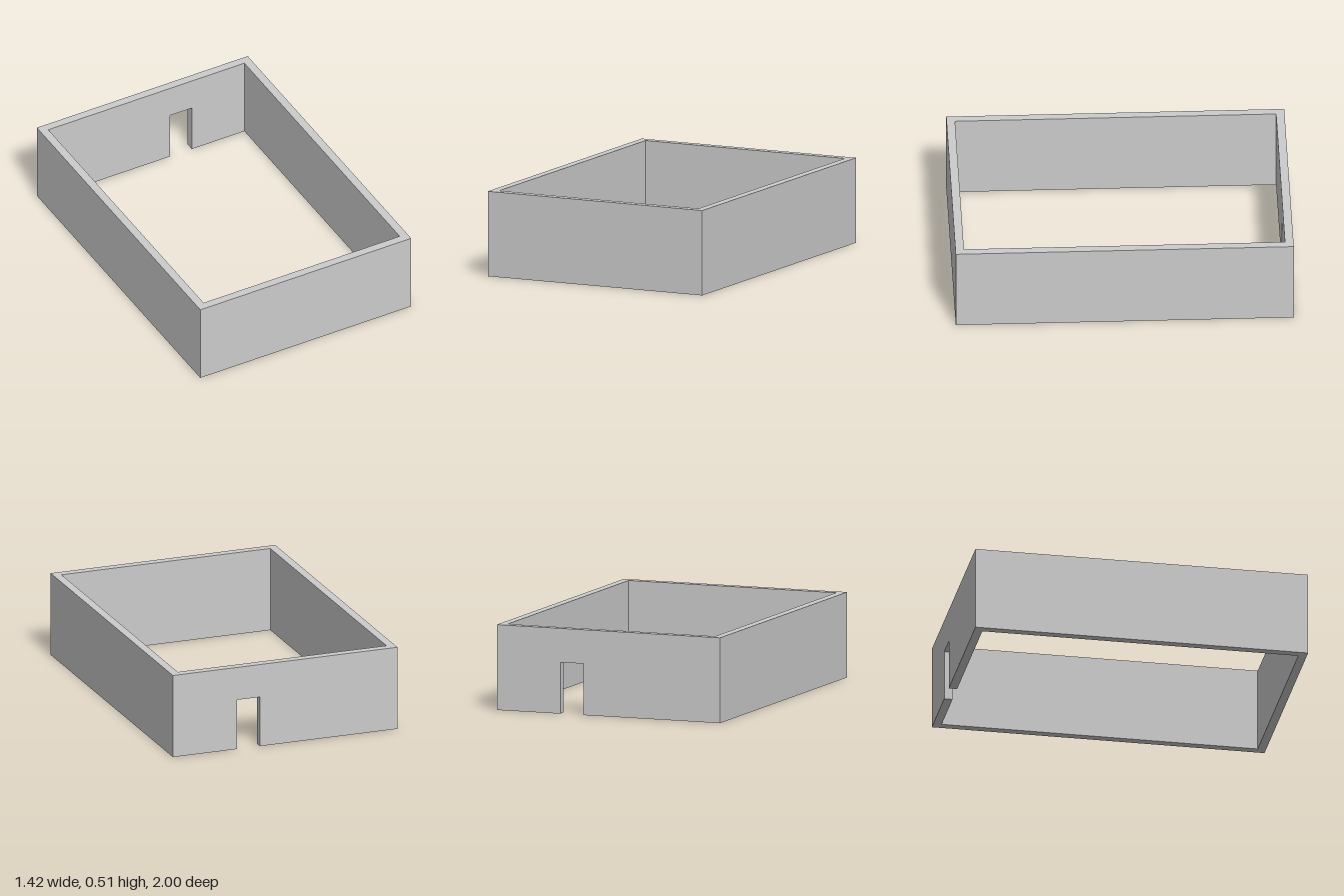
import * as THREE from 'three';

const WIDTH = 1.424, DEPTH = 2, HEIGHT = 0.51, THICK = 0.05;
const material = new THREE.MeshStandardMaterial({ color: 0xcccccc, flatShading: true });

// Wall drawn in elevation, outer face towards +z, with mitred ends; door = [x0, x1, height]
function makeWall(name, length, distance, angle, door) {
  const h = length / 2;
  const shape = new THREE.Shape();
  shape.moveTo(-h, 0);
  if (door) {
    const [x0, x1, top] = door;
    shape.lineTo(x0, 0);
    shape.lineTo(x0, top);
    shape.lineTo(x1, top);
    shape.lineTo(x1, 0);
  }
  shape.lineTo(h, 0);
  shape.lineTo(h, HEIGHT);
  shape.lineTo(-h, HEIGHT);
  shape.closePath();

  const geometry = new THREE.ExtrudeGeometry(shape, { depth: THICK, bevelEnabled: false });
  // Pull the inner end corners in so neighbouring walls meet at 45 degrees
  const p = geometry.attributes.position;
  for (let i = 0; i < p.count; i++) {
    const x = p.getX(i);
    if (p.getZ(i) < THICK / 2 && Math.abs(x) > h - 1e-4) p.setX(i, x - Math.sign(x) * THICK);
  }
  geometry.translate(0, 0, distance - THICK);
  geometry.rotateY(angle);
  geometry.computeVertexNormals();

  const mesh = new THREE.Mesh(geometry, material);
  mesh.name = name;
  return mesh;
}

export function createModel() {
  const group = new THREE.Group();
  group.name = 'roomWalls';
  group.add(
    makeWall('frontWall', WIDTH, DEPTH / 2, 0),
    makeWall('leftWall', DEPTH, WIDTH / 2, Math.PI / 2),
    // Back wall is turned round, so the doorway at +x is drawn at -x
    makeWall('backWallWithDoorway', WIDTH, DEPTH / 2, Math.PI, [-0.307, -0.16, 0.307]),
    makeWall('rightWall', DEPTH, WIDTH / 2, -Math.PI / 2)
  );
  return group;
}
